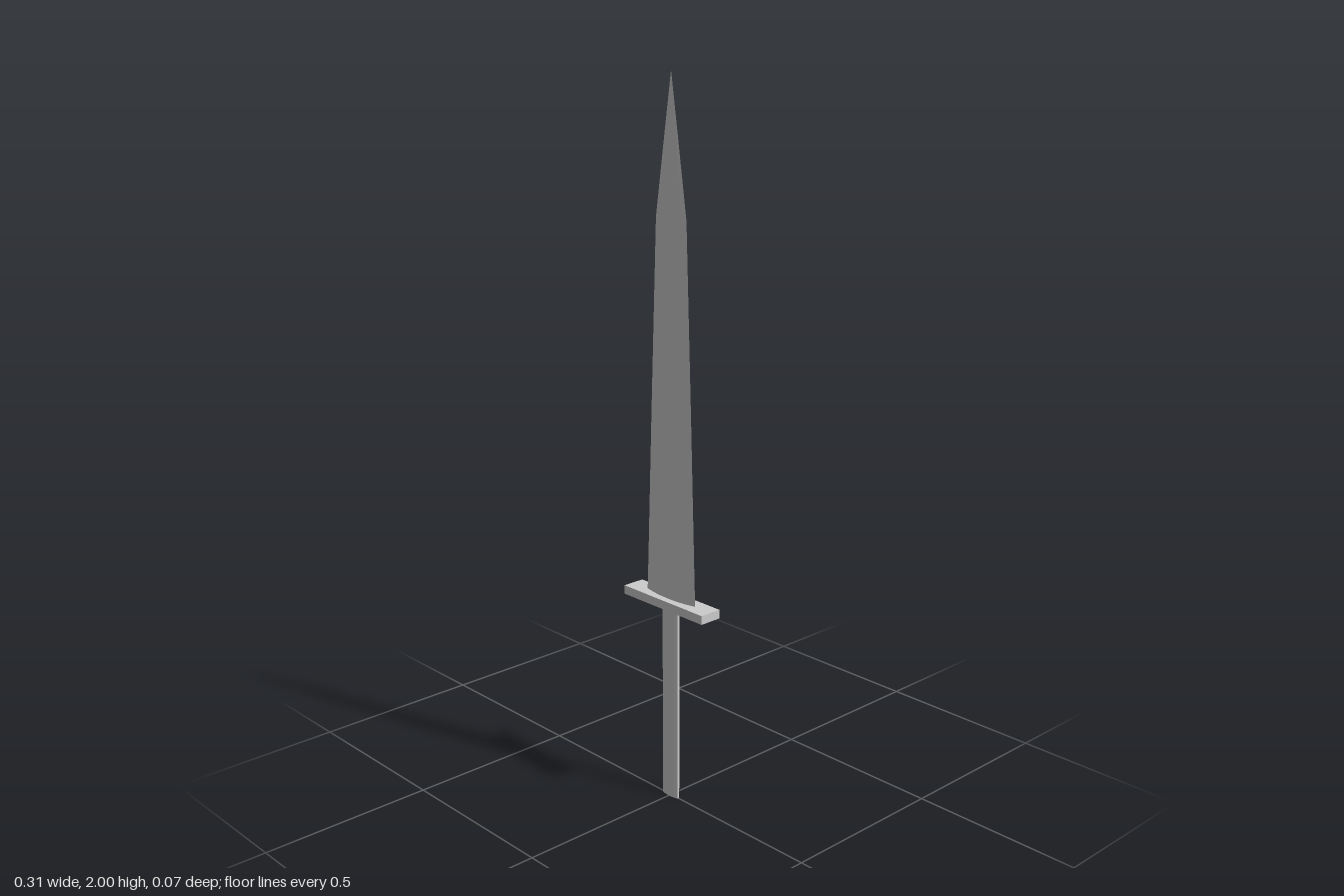
import * as THREE from 'three';
import { mergeGeometries, mergeVertices, toCreasedNormals } from 'three/addons/utils/BufferGeometryUtils.js';

// Lofts a lens-shaped section through rows of [y, halfWidth, halfThickness].
// edge: thickness left at the sides, as a share of the middle thickness.
function loft(rows, edge, power, n = 12) {
  const pos = [], index = [];
  const us = Array.from({ length: n + 1 }, (_, i) => -Math.cos((Math.PI * i) / n));
  const section = us.map((u) => [u, edge + (1 - edge) * (1 - Math.abs(u) ** power)]);
  if (edge > 0) {
    section.unshift([-1, 0]);
    section.push([1, 0]);
  }
  for (const [y, w, t] of rows) for (const [u, z] of section) pos.push(u * w, y, z * t);
  const m = section.length;
  for (let r = 0; r < rows.length - 1; r++) {
    for (let i = 0; i < m - 1; i++) {
      const a = r * m + i, b = a + m;
      index.push(a, a + 1, b + 1, a, b + 1, b);
    }
  }
  const half = new THREE.BufferGeometry();
  half.setAttribute('position', new THREE.Float32BufferAttribute(pos, 3));
  half.setIndex(index);
  const whole = mergeVertices(mergeGeometries([half, half.clone().rotateY(Math.PI)]), 1e-5);
  return toCreasedNormals(whole, Math.PI / 7);
}

export function createModel() {
  const group = new THREE.Group();
  const material = new THREE.MeshStandardMaterial({ color: 0xcccccc });
  const add = (name, geometry) => {
    const mesh = new THREE.Mesh(geometry, material);
    mesh.name = name;
    group.add(mesh);
    return mesh;
  };

  // Blade: thick at the root, tapering to a shoulder and then to the point
  add('blade', loft([
    [0.571, 0.097, 0],
    [0.571, 0.097, 0.013],
    [0.62, 0.094, 0.0125],
    [0.7, 0.091, 0.009],
    [1.1, 0.077, 0.008],
    [1.63, 0.057, 0.006],
    [1.82, 0.028, 0.004],
    [2, 0, 0],
  ], 0, 2.2));

  // Crossguard: plain flat bar
  add('crossguard', new THREE.BoxGeometry(0.308, 0.025, 0.066)).position.y = 0.5865;

  // Grip: flattened bar with gently rounded faces and closed ends
  add('grip', loft([
    [0, 0.03, 0],
    [0, 0.03, 0.009],
    [0.58, 0.03, 0.009],
    [0.58, 0.03, 0],
  ], 0.4, 2.2));

  return group;
}
